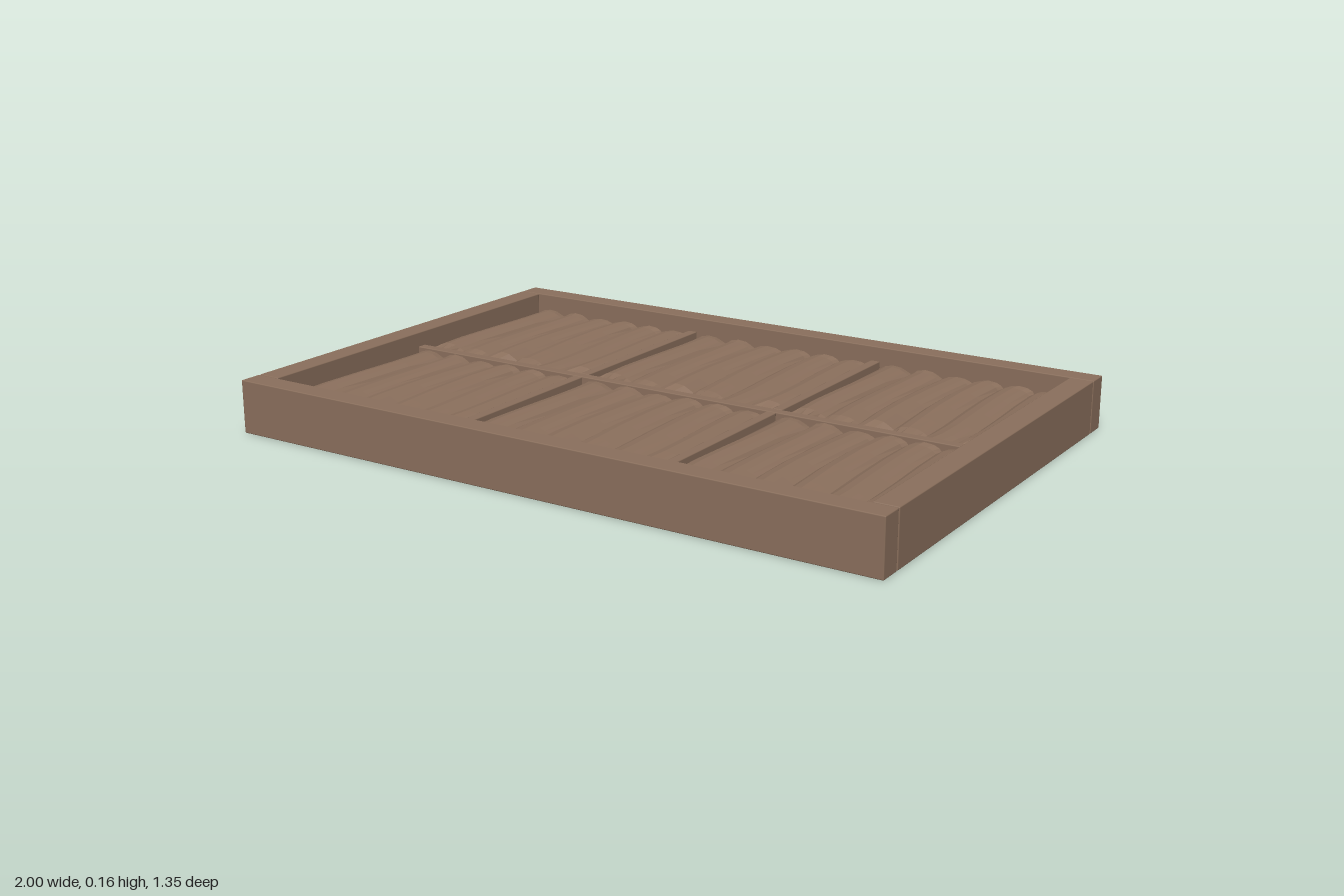
import * as THREE from 'three';
import { RoundedBoxGeometry } from 'three/addons/geometries/RoundedBoxGeometry.js';

const HEIGHT = 0.155;
const SLATS = 6;
// Height of one slat across its width: gentle left side, steep right side
const SLAT = [[0, 0], [0.2, 0.7], [0.45, 1], [0.72, 0.85], [0.88, 0.45]];
// Broken notches along the front end: position, half width, drop
const NOTCHES = [[0.05, 0.05, 0.03], [0.17, 0.05, 0.025], [0.27, 0.05, 0.03], [0.47, 0.13, 0.04], [0.65, 0.05, 0.02], [0.93, 0.08, 0.03]];
const ROWS = [0, 0.04, 0.25, 0.5, 0.72, 0.88, 1];

// Thin rippled sheet made by bending a box
function rippledPanel(width, depth) {
  const nx = SLATS * SLAT.length;
  const nz = ROWS.length - 1;
  const geometry = new THREE.BoxGeometry(1, 0.012, 1, nx, 1, nz);
  const p = geometry.attributes.position;
  for (let i = 0; i < p.count; i++) {
    const column = Math.round((p.getX(i) + 0.5) * nx);
    const row = Math.round((p.getZ(i) + 0.5) * nz);
    const slat = Math.floor(column / SLAT.length);
    const [u, rise] = SLAT[column % SLAT.length];
    const t = (slat + u) / SLATS;
    const inside = column > 0 && column < nx ? 1 : 0;
    const sway = inside * 0.008 * Math.sin(row * 1.1 + slat * 0.7);
    let y = p.getY(i) + rise * (0.017 + 0.003 * Math.sin(slat * 2.3 + row * 0.6));
    if (row === nz) {
      for (const [at, half, drop] of NOTCHES) {
        y -= drop * Math.max(0, 1 - Math.abs(t - at) / half);
      }
    }
    p.setXYZ(i, (t - 0.5) * width + sway, y, (ROWS[row] - 0.5) * depth);
  }
  const flat = geometry.toNonIndexed();
  flat.computeVertexNormals();
  return flat;
}

export function createModel() {
  const model = new THREE.Group();
  model.name = 'slattedFrame';
  const wood = new THREE.MeshStandardMaterial({ color: 0x8a6f5c });
  wood.name = 'brown wood';

  const add = (name, geometry, x, y, z) => {
    const mesh = new THREE.Mesh(geometry, wood);
    mesh.name = name;
    mesh.position.set(x, y, z);
    model.add(mesh);
  };
  const beam = (w, h, d) => new RoundedBoxGeometry(w, h, d, 1, 0.003);

  // Outer frame
  for (const s of [-1, 1]) {
    add(s > 0 ? 'frontRail' : 'backRail', beam(2, HEIGHT, 0.067), 0, HEIGHT / 2, s * 0.643);
    add(s > 0 ? 'leftRail' : 'rightRail', beam(0.07, HEIGHT, 1.212), s * 0.965, HEIGHT / 2, 0);
  }

  // Lower cross bars
  const barHeight = 0.096;
  const barY = 0.064;
  add('longDivider', beam(1.86, barHeight, 0.03), 0, barY, -0.005);
  for (const x of [-0.323, 0.323]) {
    add('backDivider', beam(0.03, barHeight, 0.588), x, barY, -0.314);
    add('frontDivider', beam(0.03, barHeight, 0.596), x, barY, 0.309);
  }

  // Six rippled panels
  for (const [x, width] of [[-0.634, 0.592], [0, 0.616], [0.634, 0.592]]) {
    add('backPanel', rippledPanel(width, 0.588), x, 0.083, -0.314);
    add('frontPanel', rippledPanel(width, 0.596), x, 0.083, 0.309);
  }
  return model;
}
